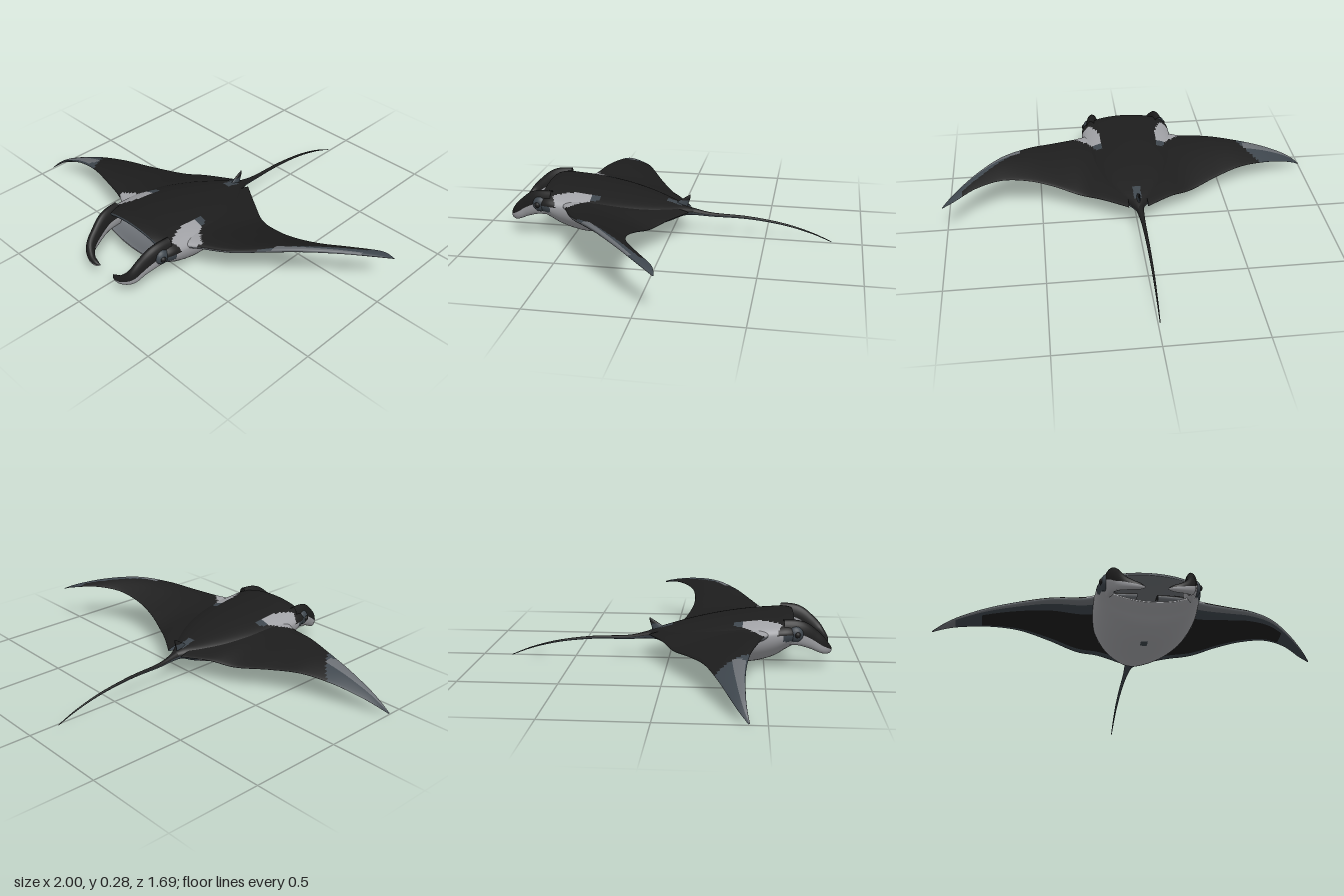
import * as THREE from 'three';

const mat = (name, color) => Object.assign(new THREE.MeshStandardMaterial({ color, side: THREE.DoubleSide }), { name });
const V = (x, y, z) => new THREE.Vector3(x, y, z);
const BLACK = 0, SLATE = 1, GREY = 2, PALE = 3;

// Smoothly interpolate rows of numbers (uniform Catmull-Rom), steps per span
function smooth(rows, steps) {
  const out = [], last = rows.length - 1;
  const at = i => rows[Math.max(0, Math.min(last, i))];
  for (let k = 0; k <= last * steps; k++) {
    const i = Math.min(Math.floor(k / steps), last - 1), t = k / steps - i;
    const [a, b, c, d] = [at(i - 1), at(i), at(i + 1), at(i + 2)];
    out.push(b.map((_, j) => b[j] + 0.5 * t * (c[j] - a[j] + t * (2 * a[j] - 5 * b[j] + 4 * c[j] - d[j]
      + t * (3 * (b[j] - c[j]) + d[j] - a[j])))));
  }
  return out;
}

// Skin closed rings; paint(centre, fractionAround, fractionAlong) picks the colour
function loft(name, rings, paint, mats) {
  const n = rings[0].length, pts = rings.flat(), buckets = mats.map(() => []);
  const origin = rings[0].reduce((s, p) => s.add(p), V(0, 0, 0)).divideScalar(n);
  const rel = pts.map(p => p.clone().sub(origin));
  let volume = 0;
  for (let i = 0; i < rings.length - 1; i++) for (let j = 0; j < n; j++) {
    const a = i * n + j, b = i * n + (j + 1) % n, c = a + n, d = b + n;
    const mid = pts[a].clone().add(pts[b]).add(pts[c]).add(pts[d]).multiplyScalar(0.25);
    buckets[paint(mid, (j + 0.5) / n, (i + 0.5) / (rings.length - 1))].push([a, b, d], [a, d, c]);
    for (const [p, q, r] of [[a, b, d], [a, d, c]]) volume += rel[p].dot(rel[q].clone().cross(rel[r]));
  }
  const geo = new THREE.BufferGeometry().setFromPoints(pts), index = [];
  buckets.forEach((tris, m) => {
    if (tris.length) geo.addGroup(index.length, tris.length * 3, m);
    for (const [p, q, r] of tris) volume > 0 ? index.push(p, q, r) : index.push(p, r, q);
  });
  geo.setIndex(index);
  geo.computeVertexNormals();
  const mesh = new THREE.Mesh(geo, mats);
  mesh.name = name;
  return mesh;
}

const ringOf = (n, f) => Array.from({ length: n }, (_, j) => f(j / n * Math.PI * 2));

// Pale shoulder patches, as |x|, z outline
const PATCH = [[0.155, 0.34], [0.15, 0.42], [0.165, 0.51], [0.205, 0.585], [0.25, 0.56], [0.285, 0.5], [0.3, 0.475], [0.225, 0.42], [0.18, 0.34]];
function inPatch(p) {
  const x = Math.abs(p.x);
  let inside = false;
  PATCH.forEach(([ax, az], i) => {
    const [bx, bz] = PATCH[(i + 1) % PATCH.length];
    if ((az > p.z) !== (bz > p.z) && x < ax + (bx - ax) * (p.z - az) / (bz - az)) inside = !inside;
  });
  return inside;
}
const topColour = p => inPatch(p) ? (p.z < 0.39 ? SLATE : PALE) : BLACK;

// Body stations: z, half width, top, bottom, side line; the last ones fold into the mouth
const BODY = [
  [-0.12, 0.012, 0.145, 0.118, 0.13], [-0.06, 0.05, 0.168, 0.105, 0.135], [0, 0.1, 0.185, 0.08, 0.14],
  [0.1, 0.165, 0.21, 0.048, 0.15], [0.2, 0.21, 0.232, 0.025, 0.16], [0.3, 0.24, 0.25, 0.014, 0.17],
  [0.43, 0.255, 0.268, 0.01, 0.185], [0.54, 0.25, 0.278, 0.04, 0.195], [0.6, 0.247, 0.282, 0.08, 0.2],
  [0.64, 0.235, 0.275, 0.108, 0.2], [0.647, 0.222, 0.264, 0.117, 0.2], [0.635, 0.21, 0.255, 0.122, 0.195],
  [0.55, 0.19, 0.245, 0.1, 0.18], [0.43, 0.13, 0.22, 0.11, 0.17], [0.38, 0.005, 0.175, 0.165, 0.17]];

function paintBody(p, f, g) {
  const row = g * (BODY.length - 1);
  if (row > 10.4) return GREY;
  if (f < 0.5) {
    if (row > 9.3) return SLATE;
    return Math.abs(p.x) < 0.02 && p.z > -0.06 && p.z < 0.02 ? SLATE : topColour(p);
  }
  if (p.z < 0) return SLATE;
  if (p.z > 0.59 && p.y > 0.165) return SLATE;
  return Math.hypot(p.x, p.z - 0.42) < 0.022 ? SLATE : PALE;
}

// Wing stations: x, leading z, leading y, trailing z, trailing y, half thickness
const LEFT = [
  [0.05, 0.56, 0.2, -0.1, 0.14, 0.04], [0.18, 0.55, 0.2, -0.015, 0.14, 0.04], [0.3, 0.49, 0.212, 0.053, 0.135, 0.034],
  [0.43, 0.43, 0.23, 0.096, 0.17, 0.027], [0.56, 0.35, 0.26, 0.11, 0.205, 0.021], [0.7, 0.24, 0.28, 0.085, 0.235, 0.016],
  [0.83, 0.11, 0.268, 0.01, 0.245, 0.012], [0.94, -0.015, 0.238, -0.08, 0.232, 0.007], [1, -0.094, 0.213, -0.101, 0.211, 0.001]];
const RIGHT = [
  [-0.05, 0.56, 0.2, -0.1, 0.14, 0.04], [-0.18, 0.55, 0.197, -0.02, 0.14, 0.04], [-0.3, 0.49, 0.2, 0.045, 0.125, 0.034],
  [-0.45, 0.455, 0.207, 0.135, 0.138, 0.025], [-0.6, 0.42, 0.193, 0.21, 0.147, 0.02], [-0.75, 0.403, 0.158, 0.272, 0.127, 0.015],
  [-0.88, 0.403, 0.103, 0.33, 0.086, 0.01], [-0.95, 0.41, 0.057, 0.37, 0.05, 0.006], [-1, 0.422, 0.01, 0.415, 0.008, 0.001]];

function wing(name, stations, mats) {
  const left = stations[0][0] > 0;
  const rings = smooth(stations, 10).map(([x, zl, yl, zt, yt, t]) => ringOf(64, a => {
    const u = (1 - Math.cos(a)) / 2;
    return V(x, yl + (yt - yl) * u + t * Math.sin(a) * (1.35 - 0.8 * u), zl + (zt - zl) * u);
  }));
  return loft(name, rings, (p, f) => {
    const u = (1 - Math.cos(f * Math.PI * 2)) / 2, x = Math.abs(p.x);
    if (f < 0.5) {
      if (left) {
        if (x > 0.6 && x < 0.9 && u < 0.18) return GREY;
        return x > 0.9 || (x > 0.54 && u < (x - 0.54) * 1.7) ? SLATE : topColour(p);
      }
      if (x > 0.66 - 0.05 * u && u > 0.03 && u < 0.42) return GREY;
      return x > 0.6 + 0.13 * u ? SLATE : topColour(p);
    }
    // Underside: dark field with a lighter border
    if (u < 0.05) return GREY;
    if (x > 0.9) return left ? SLATE : GREY;
    return u < 0.17 || u > 0.9 || x > 0.78 ? SLATE : BLACK;
  }, mats);
}

// Curled head lobes: x, y, z, half height, half thickness
const LOBE = [
  [0.195, 0.205, 0.59, 0.066, 0.03], [0.187, 0.2, 0.67, 0.064, 0.03], [0.172, 0.165, 0.74, 0.05, 0.026],
  [0.155, 0.125, 0.795, 0.036, 0.023], [0.115, 0.102, 0.823, 0.024, 0.018], [0.075, 0.094, 0.828, 0.015, 0.013], [0.05, 0.093, 0.822, 0.002, 0.002]];

function lobe(name, side, mats) {
  const rows = smooth(LOBE, 8);
  const rings = rows.map(([x, y, z, h, t], i) => {
    const a = rows[Math.max(0, i - 1)], b = rows[Math.min(rows.length - 1, i + 1)];
    const dir = V((b[0] - a[0]) * side, b[1] - a[1], b[2] - a[2]).normalize();
    const across = dir.clone().cross(V(0, 1, 0)).normalize(), up = across.clone().cross(dir);
    return ringOf(24, q => V(x * side, y, z).addScaledVector(across, t * Math.cos(q)).addScaledVector(up, h * Math.sin(q)));
  });
  return loft(name, rings, (p, f) => f < 0.5 ? BLACK : PALE, mats);
}

export function createModel() {
  const model = new THREE.Group();
  model.name = 'mantaRay';
  const mats = [mat('black skin', 0x1d1d1d), mat('slate skin', 0x3d454c), mat('grey skin', 0x696d72), mat('pale skin', 0xa0a1a5)];

  const bodyRings = smooth(BODY, 9).map(([z, w, top, bottom, side]) => ringOf(96, a => {
    const s = Math.sin(a);
    return V(w * Math.cos(a), side + s * (s > 0 ? top - side : side - bottom), z);
  }));
  model.add(loft('body', bodyRings, paintBody, mats));
  model.add(wing('leftWing', LEFT, mats), wing('rightWing', RIGHT, mats));

  // Head lobes and eyes
  for (const side of [1, -1]) {
    const word = side > 0 ? 'left' : 'right';
    model.add(lobe(word + 'HeadLobe', side, mats));
    const eye = new THREE.Mesh(new THREE.SphereGeometry(0.034, 20, 14), mats[SLATE]);
    eye.name = word + 'EyeBulge';
    eye.position.set(0.208 * side, 0.2, 0.65);
    eye.scale.set(0.85, 1.2, 1.2);
    const pupil = new THREE.Mesh(new THREE.SphereGeometry(0.016, 16, 10), mats[BLACK]);
    pupil.name = word + 'Eye';
    pupil.position.set(0.228 * side, 0.2, 0.66);
    model.add(eye, pupil);
  }

  // Whip tail: x, y, z, radius
  const tail = smooth([[0, 0.137, -0.04, 0.034], [-0.006, 0.128, -0.12, 0.019], [-0.011, 0.115, -0.22, 0.011], [-0.012, 0.11, -0.4, 0.008],
    [-0.012, 0.088, -0.58, 0.006], [-0.011, 0.05, -0.73, 0.004], [-0.01, 0.005, -0.845, 0.002]], 8);
  model.add(loft('tail', tail.map(([x, y, z, r]) => ringOf(14, a => V(x + r * Math.cos(a), y + r * Math.sin(a), z))),
    (p, f) => f < 0.5 ? BLACK : SLATE, mats));

  // Small back-swept fin at the tail root: z, y, half length, half thickness
  const fin = smooth([[-0.04, 0.14, 0.045, 0.012], [-0.06, 0.175, 0.032, 0.009], [-0.085, 0.203, 0.016, 0.006], [-0.1, 0.221, 0.002, 0.001]], 6);
  model.add(loft('tailFin', fin.map(([z, y, l, t]) => ringOf(16, a => V(t * Math.cos(a) - 0.003, y, z + l * Math.sin(a)))),
    p => p.y > 0.19 ? BLACK : SLATE, mats));
  return model;
}
